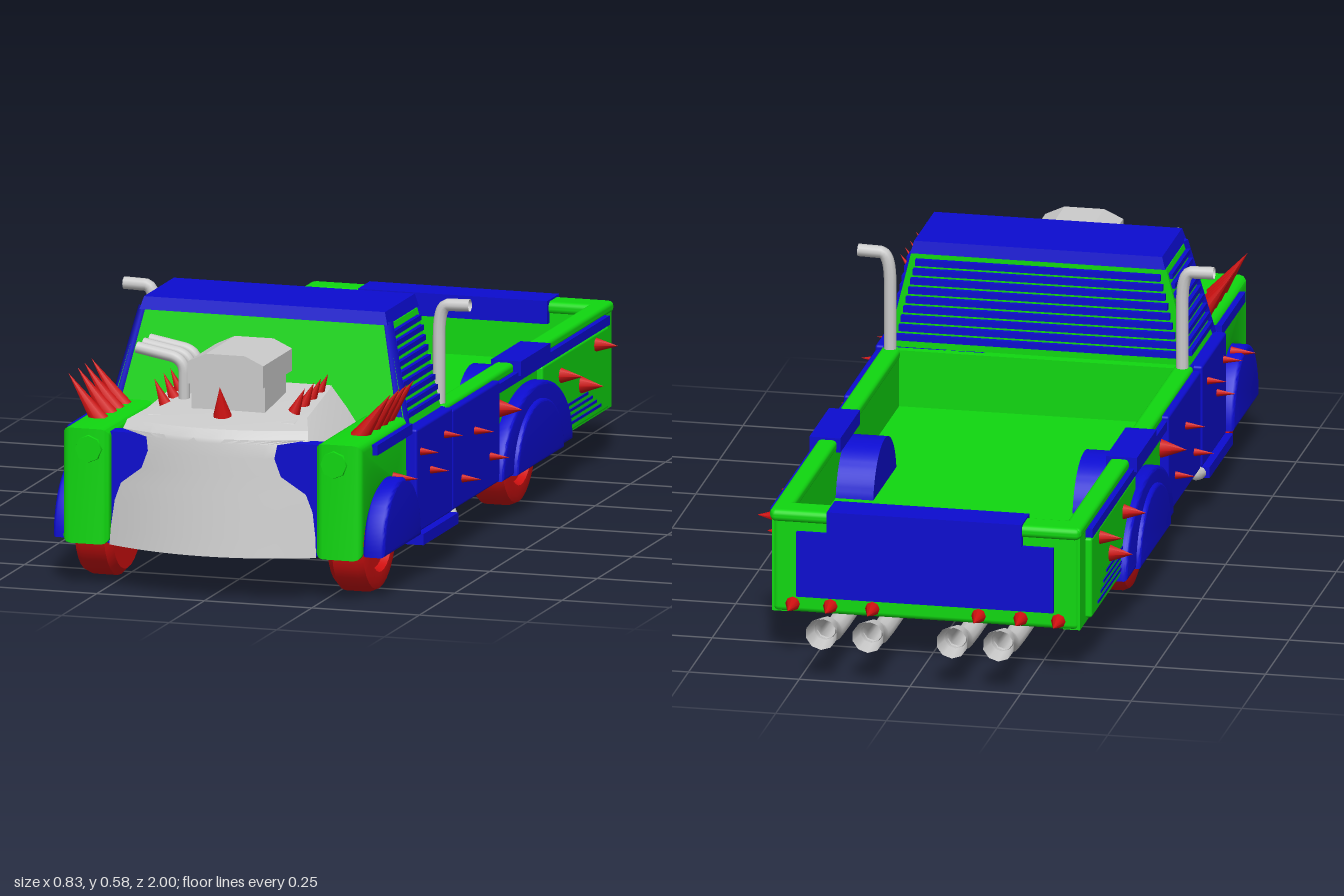
import * as THREE from 'three';
import { RoundedBoxGeometry } from 'three/addons/geometries/RoundedBoxGeometry.js';
import { toCreasedNormals } from 'three/addons/utils/BufferGeometryUtils.js';

const mat = (color, side = THREE.FrontSide) => new THREE.MeshStandardMaterial({ color, side });
const GREEN = mat(0x10d810), BLUE = mat(0x0c0cd0), RED = mat(0xd01010), GREY = mat(0xcccccc);
const GREY2 = mat(0xcccccc, THREE.DoubleSide);
const V = (x, y, z) => new THREE.Vector3(x, y, z);

export function createModel() {
  const root = new THREE.Group();
  const add = (name, geo, m) => {
    const mesh = new THREE.Mesh(geo, m);
    mesh.name = name;
    root.add(mesh);
    return mesh;
  };
  // box given by its ranges, optionally rounded
  const box = (name, m, x0, x1, y0, y1, z0, z1, r = 0) => {
    const s = [Math.abs(x1 - x0), y1 - y0, z1 - z0];
    const g = r ? new RoundedBoxGeometry(...s, 2, r) : new THREE.BoxGeometry(...s);
    return add(name, g.translate((x0 + x1) / 2, (y0 + y1) / 2, (z0 + z1) / 2), m);
  };
  // box whose bottom and top rectangles differ: [y, halfWidth, zBack, zFront, yFront]
  const frustum = (name, m, bot, top) => {
    const g = new THREE.BoxGeometry(2, 2, 2), p = g.attributes.position;
    for (let i = 0; i < p.count; i++) {
      const [y, hw, zb, zf, yf = y] = p.getY(i) > 0 ? top : bot;
      const front = p.getZ(i) > 0;
      p.setXYZ(i, p.getX(i) * hw, front ? yf : y, front ? zf : zb);
    }
    g.computeVertexNormals();
    return add(name, g, m);
  };
  // side profile in (z, y), extruded between two x positions
  const extrudeX = (name, m, shape, xa, xb, bevel = 0) => {
    const x0 = Math.min(xa, xb), x1 = Math.max(xa, xb);
    const g = new THREE.ExtrudeGeometry(shape, {
      depth: x1 - x0 - 2 * bevel, curveSegments: 20, bevelEnabled: bevel > 0,
      bevelSize: bevel, bevelThickness: bevel, bevelOffset: -bevel, bevelSegments: 3,
    });
    g.rotateY(-Math.PI / 2).translate(x1 - bevel, 0, 0);
    return add(name, toCreasedNormals(g, 0.6), m);
  };
  // wall with a wheel arch cut from its lower edge
  const archWall = (z0, z1, y0, y1, zc, r) => {
    const s = new THREE.Shape();
    s.moveTo(z0, y0).lineTo(zc - r, y0);
    s.absarc(zc, y0, r, Math.PI, 0, true);
    return s.lineTo(z1, y0).lineTo(z1, y1).lineTo(z0, y1);
  };
  const halfDisc = (zc, y0, rz, ry) => {
    const s = new THREE.Shape();
    s.moveTo(zc + rz, y0).absellipse(zc, y0, rz, ry, 0, Math.PI, false);
    return s;
  };
  const rod = (name, m, a, b, ra, rb = ra, n = 8, open = false) => {
    const d = b.clone().sub(a);
    const g = new THREE.CylinderGeometry(rb, ra, d.length(), n, 1, open);
    g.applyQuaternion(new THREE.Quaternion().setFromUnitVectors(V(0, 1, 0), d.normalize()));
    const c = a.clone().add(b).multiplyScalar(0.5);
    return add(name, g.translate(c.x, c.y, c.z), m);
  };
  const spike = (a, b, r) => rod('spike', RED, a, b, r, 0);
  // pipe along straight runs with softened corners
  const pipe = (name, pts, r) => {
    const path = new THREE.CurvePath();
    let last = pts[0];
    for (let i = 1; i < pts.length - 1; i++) {
      const a = pts[i].clone().lerp(pts[i - 1], 0.3), b = pts[i].clone().lerp(pts[i + 1], 0.3);
      path.add(new THREE.LineCurve3(last, a));
      path.add(new THREE.QuadraticBezierCurve3(a, pts[i], b));
      last = b;
    }
    path.add(new THREE.LineCurve3(last, pts[pts.length - 1]));
    add(name, new THREE.TubeGeometry(path, 40, r, 10), GREY2);
  };

  // underside plates, leaving both wheel bays open
  box('floorPanRear', GREEN, -0.34, 0.34, 0.1, 0.11, -0.82, -0.36);
  box('floorPanMiddle', GREEN, -0.345, 0.345, 0.1, 0.11, -0.06, 0.62);
  box('firewall', GREEN, -0.34, 0.34, 0.1, 0.34, 0.6, 0.62);

  // cargo bed
  box('bedFloor', GREEN, -0.32, 0.32, 0.19, 0.205, -0.8, 0.36);
  box('bedFrontWall', GREEN, -0.34, 0.34, 0.1, 0.335, 0.34, 0.37);
  box('tailgate', GREEN, -0.345, 0.345, 0.1, 0.325, -0.835, -0.78, 0.012);
  box('tailgatePanel', BLUE, -0.29, 0.29, 0.14, 0.29, -0.845, -0.82);
  box('rearRail', GREEN, -0.35, 0.35, 0.31, 0.338, -0.845, -0.775, 0.012);
  box('tailgateCap', BLUE, -0.22, 0.22, 0.29, 0.342, -0.85, -0.765);

  // cab: green shell, blue pillars, roof and slats
  frustum('cabLower', BLUE, [0.1, 0.35, 0.36, 0.62], [0.335, 0.35, 0.36, 0.62]);
  frustum('cabUpper', GREEN, [0.335, 0.342, 0.365, 0.618], [0.555, 0.288, 0.365, 0.572]);
  frustum('roof', BLUE, [0.557, 0.288, 0.355, 0.58], [0.585, 0.28, 0.36, 0.572]);
  for (let i = 0; i < 9; i++) {
    const y = 0.36 + i * 0.022, t = (y - 0.335) / 0.22;
    const hw = 0.346 - 0.054 * t, zf = 0.605 - 0.046 * t;
    box('rearSlat', BLUE, -hw + 0.02, hw - 0.02, y - 0.007, y + 0.007, 0.353, 0.375);
    for (const s of [-1, 1]) box('sideSlat', BLUE, s * (hw - 0.03), s * (hw + 0.004), y - 0.006, y + 0.006, 0.375, zf);
  }

  // hood top and bulging nose in one sheet; rows are [y, halfWidth, zCentre]
  const rows = [[0.1, 0.24, 1.0], [0.14, 0.238, 0.995], [0.2, 0.23, 0.988], [0.24, 0.215, 0.983],
    [0.28, 0.162, 0.978], [0.32, 0.147, 0.974], [0.35, 0.152, 0.97], [0.36, 0.215, 0.968],
    [0.378, 0.21, 0.95], [0.392, 0.185, 0.87], [0.42, 0.17, 0.61]];
  const N = 12, pos = [], idx = [];
  rows.forEach(([y, hw, zc], j) => {
    for (let i = 0; i <= N; i++) {
      const x = hw * (2 * i / N - 1);
      pos.push(x, y, zc - (j === 10 ? 0 : 0.05 * (x / 0.22) ** 2));
      if (j && i) {
        const b = j * (N + 1) + i, a = b - N - 1;
        idx.push(a - 1, a, b, a - 1, b, b - 1);
      }
    }
  });
  const sheet = new THREE.BufferGeometry();
  sheet.setAttribute('position', new THREE.Float32BufferAttribute(pos, 3));
  sheet.setIndex(idx);
  add('noseAndHood', toCreasedNormals(sheet, 0.6), GREY2);
  frustum('hoodSides', GREY, [0.32, 0.245, 0.61, 0.92], [0.419, 0.168, 0.61, 0.88, 0.387]);
  box('nosePanel', BLUE, -0.25, 0.25, 0.1, 0.352, 0.885, 0.925);
  box('crossmember', GREEN, -0.25, 0.25, 0.1, 0.3, 0.855, 0.89, 0.015);

  // air scoop on its neck
  box('scoopNeck', GREY, -0.085, 0.085, 0.38, 0.462, 0.68, 0.83);
  const scoop = new THREE.Shape([[-0.088, 0.455], [0.088, 0.455], [0.088, 0.505], [0.045, 0.525],
    [-0.045, 0.525], [-0.088, 0.505]].map(p => new THREE.Vector2(...p)));
  add('airScoop', new THREE.ExtrudeGeometry(scoop, { depth: 0.205, bevelEnabled: false }).translate(0, 0, 0.645), GREY);
  spike(V(0, 0.39, 0.87), V(0, 0.46, 0.89), 0.022);

  // engine header pipes on the right of the hood
  for (const z of [0.67, 0.715, 0.76]) {
    pipe('headerPipe', [V(-0.125, 0.39, z), V(-0.125, 0.49, z), V(-0.235, 0.51, z)], 0.013);
  }

  // wheel profile, [radius, offset along the axle]
  const tire = [[0, -0.045], [0.11, -0.045], [0.125, -0.03], [0.125, 0.025], [0.118, 0.04], [0.105, 0.045],
    [0.08, 0.045], [0.072, 0.03], [0.045, 0.03], [0.035, 0.042], [0, 0.042]].map(p => new THREE.Vector2(...p));
  const wheelGeo = toCreasedNormals(new THREE.LatheGeometry(tire, 28), 0.6);
  for (const z of [0.78, -0.21]) {
    rod('axle', RED, V(-0.27, 0.125, z), V(0.27, 0.125, z), 0.014);
    rod('driveRod', RED, V(0, 0.125, z - 0.14), V(0, 0.125, z + 0.12), 0.012);
  }

  for (const s of [-1, 1]) {
    // wheels
    for (const z of [0.78, -0.21]) {
      const w = add('wheel', wheelGeo, RED);
      w.rotation.z = -s * Math.PI / 2;
      w.position.set(s * 0.295, 0.125, z);
    }

    // bed side, rail, wheel housing and fender
    extrudeX('bedSide', GREEN, archWall(-0.83, 0.36, 0.1, 0.33, -0.21, 0.15), s * 0.31, s * 0.348);
    box('bedRail', GREEN, s * 0.308, s * 0.352, 0.312, 0.338, -0.84, 0.36, 0.01);
    box('railCap', BLUE, s * 0.3, s * 0.37, 0.31, 0.343, -0.33, -0.12);
    extrudeX('wheelHousing', BLUE, halfDisc(-0.21, 0.18, 0.125, 0.13), s * 0.225, s * 0.32);
    extrudeX('rearFender', BLUE, halfDisc(-0.22, 0.1, 0.25, 0.175), s * 0.34, s * 0.378, 0.008);
    extrudeX('rearWheelCover', BLUE, halfDisc(-0.21, 0.1, 0.165, 0.14), s * 0.35, s * 0.388, 0.006);
    box('bedSidePanel', BLUE, s * 0.34, s * 0.368, 0.1, 0.328, 0.02, 0.358, 0.006);
    box('door', BLUE, s * 0.34, s * 0.37, 0.1, 0.335, 0.365, 0.62, 0.006);
    box('rearSidePanel', GREEN, s * 0.34, s * 0.362, 0.11, 0.295, -0.77, -0.3, 0.006);
    box('sideTrim', BLUE, s * 0.34, s * 0.364, 0.297, 0.318, -0.77, 0.02);
    for (let i = 0; i < 4; i++) {
      box('sideStripe', BLUE, s * 0.35, s * 0.364, 0.125 + i * 0.015, 0.131 + i * 0.015, -0.71 + i * 0.03, -0.45);
    }

    // front wing, wheel cover and lamp
    extrudeX('frontWing', GREEN, archWall(0.615, 0.95, 0.1, 0.36, 0.78, 0.14), s * 0.24, s * 0.348, 0.018);
    extrudeX('frontWheelCover', BLUE, halfDisc(0.765, 0.1, 0.135, 0.155), s * 0.335, s * 0.385, 0.008);
    box('wingTrim', BLUE, s * 0.335, s * 0.36, 0.325, 0.348, 0.62, 0.87);
    rod('headlamp', GREEN, V(s * 0.285, 0.315, 0.93), V(s * 0.285, 0.315, 0.955), 0.036, 0.03);

    // windscreen pillar
    rod('pillar', BLUE, V(s * 0.332, 0.335, 0.607), V(s * 0.282, 0.56, 0.562), 0.018, 0.014, 4);

    // step, side pipe and exhaust stack
    box('sideStep', BLUE, s * 0.33, s * 0.385, 0.075, 0.1, 0.37, 0.62);
    pipe('exhaustStack', [V(s * 0.365, 0.085, 0.6), V(s * 0.365, 0.085, 0.34), V(s * 0.33, 0.12, 0.34)], 0.014);
    pipe('exhaustStack', [V(s * 0.33, 0.32, 0.34), V(s * 0.33, 0.56, 0.34), V(s * 0.402, 0.562, 0.34)], 0.014);

    // rear exhausts with flared tips
    for (const x of [0.095, 0.2]) {
      rod('exhaustCap', GREY, V(s * x, 0.075, -0.6), V(s * x, 0.075, -0.62), 0.014, 0.024);
      pipe('rearExhaust', [V(s * x, 0.075, -0.61), V(s * x, 0.075, -0.88), V(s * x, 0.105, -0.94), V(s * x, 0.107, -0.96)], 0.024);
      rod('exhaustTip', GREY2, V(s * x, 0.105, -0.935), V(s * x, 0.108, -1), 0.024, 0.036, 10, true);
    }

    // spikes on the wings, hood, flanks and tail
    for (const z of [0.655, 0.705, 0.755, 0.82]) {
      spike(V(s * 0.3, 0.35, z), V(s * 0.375, 0.455, z), 0.022);
      spike(V(s * 0.15, 0.4, z), V(s * 0.175, 0.455, z), 0.014);
    }
    const flank = [[0.59, 0.28], [0.52, 0.225], [0.42, 0.285], [0.29, 0.16], [0.2, 0.25], [0.09, 0.17],
      [0, 0.26, 0.022], [-0.43, 0.25, 0.02], [-0.575, 0.2, 0.022], [-0.68, 0.27, 0.018], [0.74, 0.25]];
    for (const [z, y, r = 0.012] of flank) spike(V(s * 0.355, y, z), V(s * 0.413, y, z), r);
    for (const x of [0.12, 0.215, 0.3]) spike(V(s * x, 0.12, -0.83), V(s * x, 0.12, -0.89), 0.018);
  }
  return root;
}
